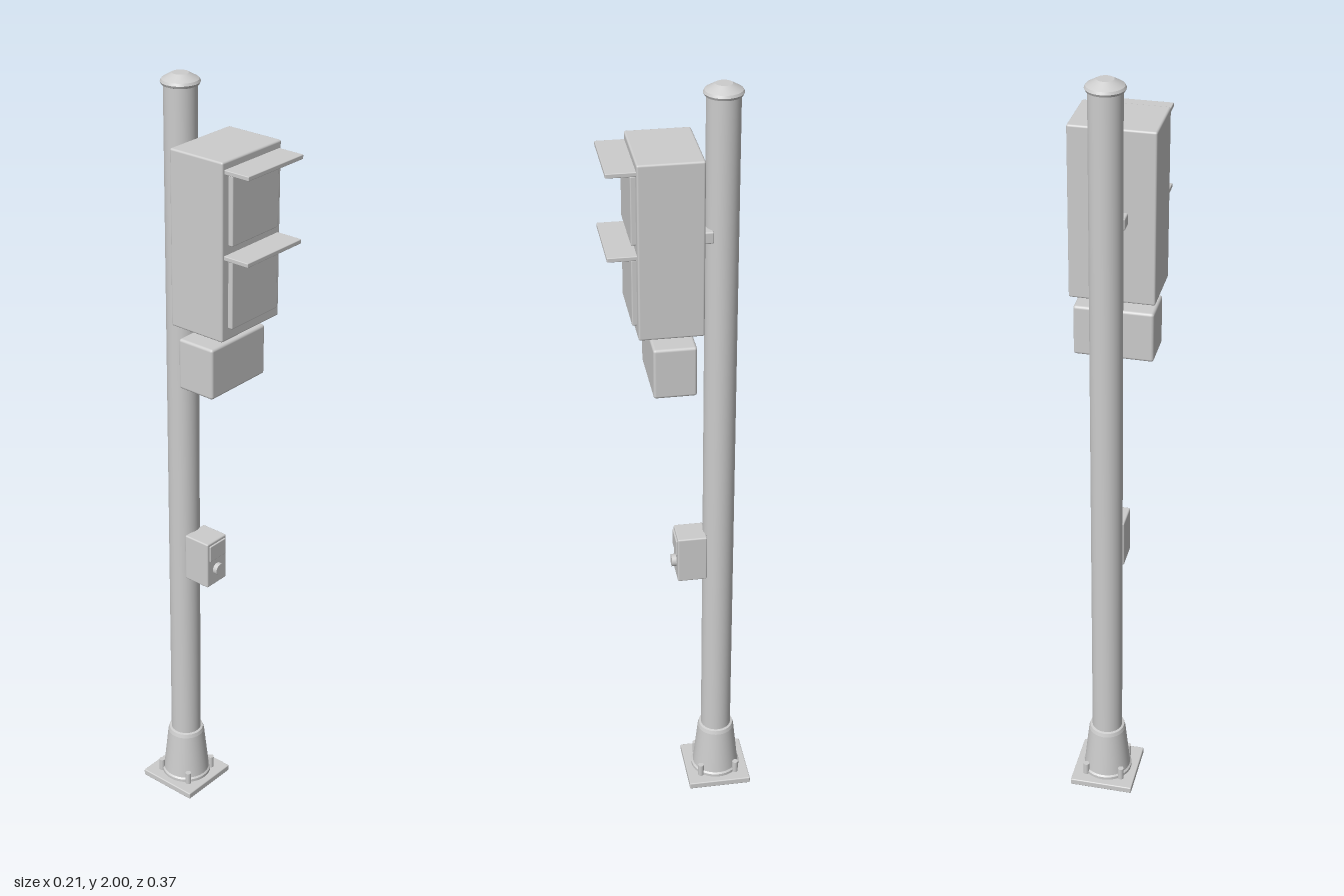
import * as THREE from 'three';
import { RoundedBoxGeometry } from 'three/addons/geometries/RoundedBoxGeometry.js';

export function createModel() {
  const model = new THREE.Group();
  const grey = new THREE.MeshStandardMaterial({ color: 0xcccccc });
  grey.name = 'light grey metal';
  const poleZ = -0.1;

  function add(name, geometry, x = 0, y = 0, z = 0) {
    const mesh = new THREE.Mesh(geometry, grey);
    mesh.name = name;
    mesh.position.set(x, y, z);
    model.add(mesh);
    return mesh;
  }
  // Softly bevelled box given by its limits; x is symmetric
  function box(name, halfWidth, y0, y1, z0, z1, radius = 0.005) {
    return add(name, new RoundedBoxGeometry(halfWidth * 2, y1 - y0, z1 - z0, 2, radius),
      0, (y0 + y1) / 2, (z0 + z1) / 2);
  }
  // Turned part; each segment is a separate lathe so its edges stay crisp
  function turned(name, points) {
    const group = new THREE.Group();
    group.name = name;
    for (let i = 1; i < points.length; i++) {
      const pair = [points[i - 1], points[i]].map(([r, y]) => new THREE.Vector2(r, y));
      group.add(new THREE.Mesh(new THREE.LatheGeometry(pair, 40), grey));
    }
    group.position.z = poleZ;
    model.add(group);
  }

  // Foot: plate, tapered socket and anchor bolts
  box('basePlate', 0.084, 0, 0.018, -0.184, -0.016, 0.003);
  turned('baseSocket', [[0.066, 0.018], [0.066, 0.026], [0.062, 0.03], [0.049, 0.155], [0.046, 0.165], [0.039, 0.167]]);
  for (const sx of [-1, 1]) {
    for (const sz of [-1, 1]) {
      add('anchorBolt', new THREE.CylinderGeometry(0.008, 0.008, 0.036, 12), sx * 0.048, 0.034, poleZ + sz * 0.048);
    }
  }

  // Pole and its cap
  add('pole', new THREE.CylinderGeometry(0.04, 0.04, 1.95, 40), 0, 1.0, poleZ);
  turned('poleCap', [[0.039, 1.972], [0.044, 1.974], [0.047, 1.98], [0.044, 1.986], [0.02, 2], [0, 2]]);

  // Signal head with two panels, each under a flat visor
  box('signalHousing', 0.105, 1.425, 1.861, -0.043, 0.113);
  for (const y of [1.832, 1.628]) {
    box('visor', 0.098, y, y + 0.011, 0.108, 0.182, 0.002);
    box('signalPanel', 0.083, y - 0.173, y - 0.005, 0.108, 0.125, 0.003);
  }
  box('mountingBracket', 0.039, 1.628, 1.658, -0.075, -0.038, 0.004);

  // Lower control box
  box('controlBox', 0.099, 1.262, 1.393, -0.027, 0.078, 0.007);

  // Push button unit
  box('buttonBox', 0.037, 0.676, 0.805, -0.066, 0.01, 0.004);
  box('buttonSign', 0.03, 0.752, 0.797, 0.006, 0.014, 0.002);
  const button = add('pushButton', new THREE.CylinderGeometry(0.016, 0.016, 0.02, 24), 0, 0.72, 0.012);
  button.rotation.x = Math.PI / 2;

  return model;
}
